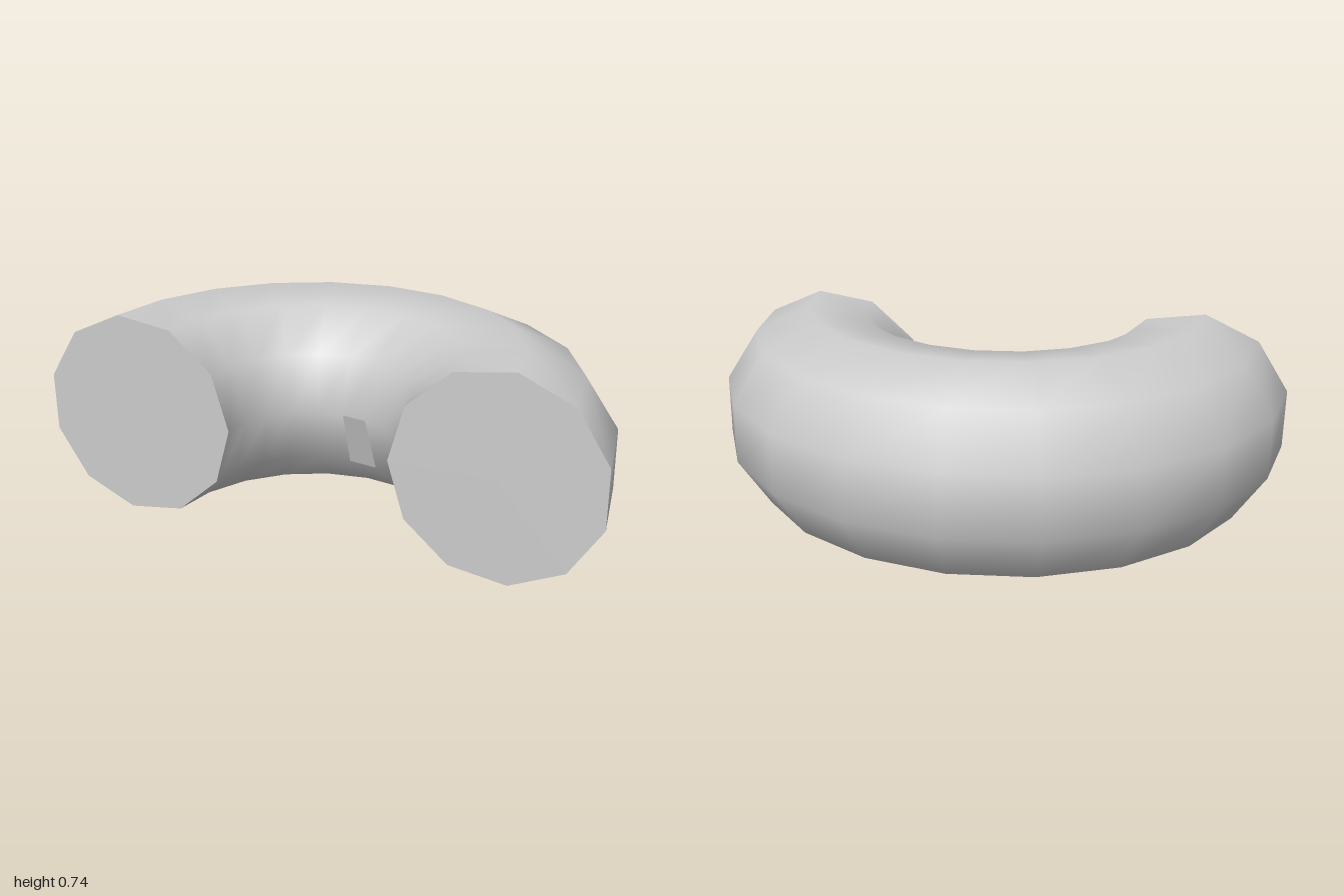
import * as THREE from 'three';

const RING = 0.675;   // radius of the bend
const TUBE = 0.375;   // radius of the tube
const SIDES = 11;
const STEPS = 10;

export function createModel() {
  const model = new THREE.Group();
  const smooth = new THREE.MeshStandardMaterial({ color: 0xcccccc });
  const flat = new THREE.MeshStandardMaterial({ color: 0xcccccc, flatShading: true });

  const add = (name, geometry, material) => {
    const mesh = new THREE.Mesh(geometry, material);
    mesh.name = name;
    model.add(mesh);
    return mesh;
  };

  // Half-ring tube; the negative radius puts a corner of the section on the inner side
  const tube = new THREE.TorusGeometry(RING, -TUBE, SIDES, STEPS, Math.PI);
  tube.rotateX(-Math.PI / 2);

  // One face on the inner wall is flat shaded, so it is split off from the tube
  const faces = Array.from(tube.index.array);
  const panelFace = faces.splice(4 * 6, 6);
  const panel = tube.clone();
  panel.setIndex(panelFace);
  tube.setIndex(faces);
  add('bentTube', tube, smooth);
  add('innerPanel', panel.toNonIndexed(), flat);

  // Flat end caps, each with a corner pointing to the middle of the bend
  for (const side of [1, -1]) {
    const cap = new THREE.CircleGeometry(TUBE, SIDES, side > 0 ? Math.PI : 0);
    add(side > 0 ? 'leftCap' : 'rightCap', cap, flat).position.x = side * RING;
  }

  // Turn the bend and stand it on the ground
  model.rotation.y = THREE.MathUtils.degToRad(21.3);
  model.position.set(0.03, 0.371, 0.325);

  const root = new THREE.Group();
  model.name = 'halfRing';
  root.add(model);
  return root;
}
